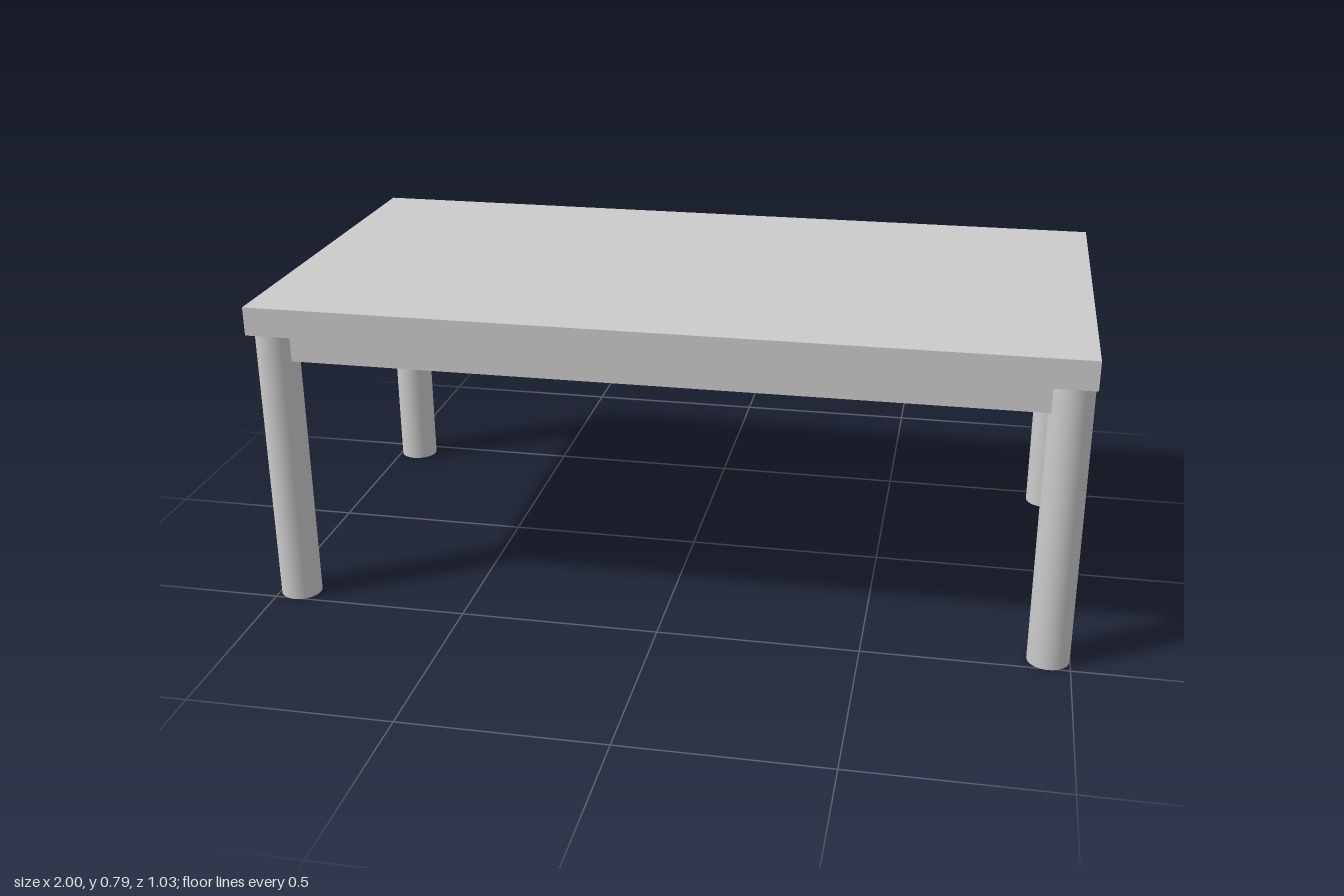
import * as THREE from 'three';

export function createModel() {
  const table = new THREE.Group();
  table.name = 'table';
  const material = new THREE.MeshStandardMaterial({ color: 0xcccccc });

  const add = (name, geometry, x, y, z) => {
    const mesh = new THREE.Mesh(geometry, material);
    mesh.name = name;
    mesh.position.set(x, y, z);
    table.add(mesh);
  };

  const underside = 0.717, topThickness = 0.071;
  const legX = 0.948, legZ = 0.454, legRadius = 0.051;
  const railHeight = 0.073, railThickness = 0.05;
  const railY = underside - railHeight / 2;

  // Flat slab top
  add('tableTop', new THREE.BoxGeometry(2, topThickness, 1.03), 0, underside + topThickness / 2, 0);

  // Four round legs
  const leg = new THREE.CylinderGeometry(legRadius, legRadius, underside, 32);
  for (const [side, sx] of [['Left', 1], ['Right', -1]]) {
    for (const [end, sz] of [['front', 1], ['back', -1]]) {
      add(`${end}${side}Leg`, leg, sx * legX, underside / 2, sz * legZ);
    }
  }

  // Apron rails joining the legs, let slightly into them
  const longRail = new THREE.BoxGeometry(1.81, railHeight, railThickness);
  const shortRail = new THREE.BoxGeometry(railThickness, railHeight, 0.815);
  add('frontRail', longRail, 0, railY, legZ);
  add('backRail', longRail, 0, railY, -legZ);
  add('leftRail', shortRail, legX, railY, 0);
  add('rightRail', shortRail, -legX, railY, 0);

  return table;
}
